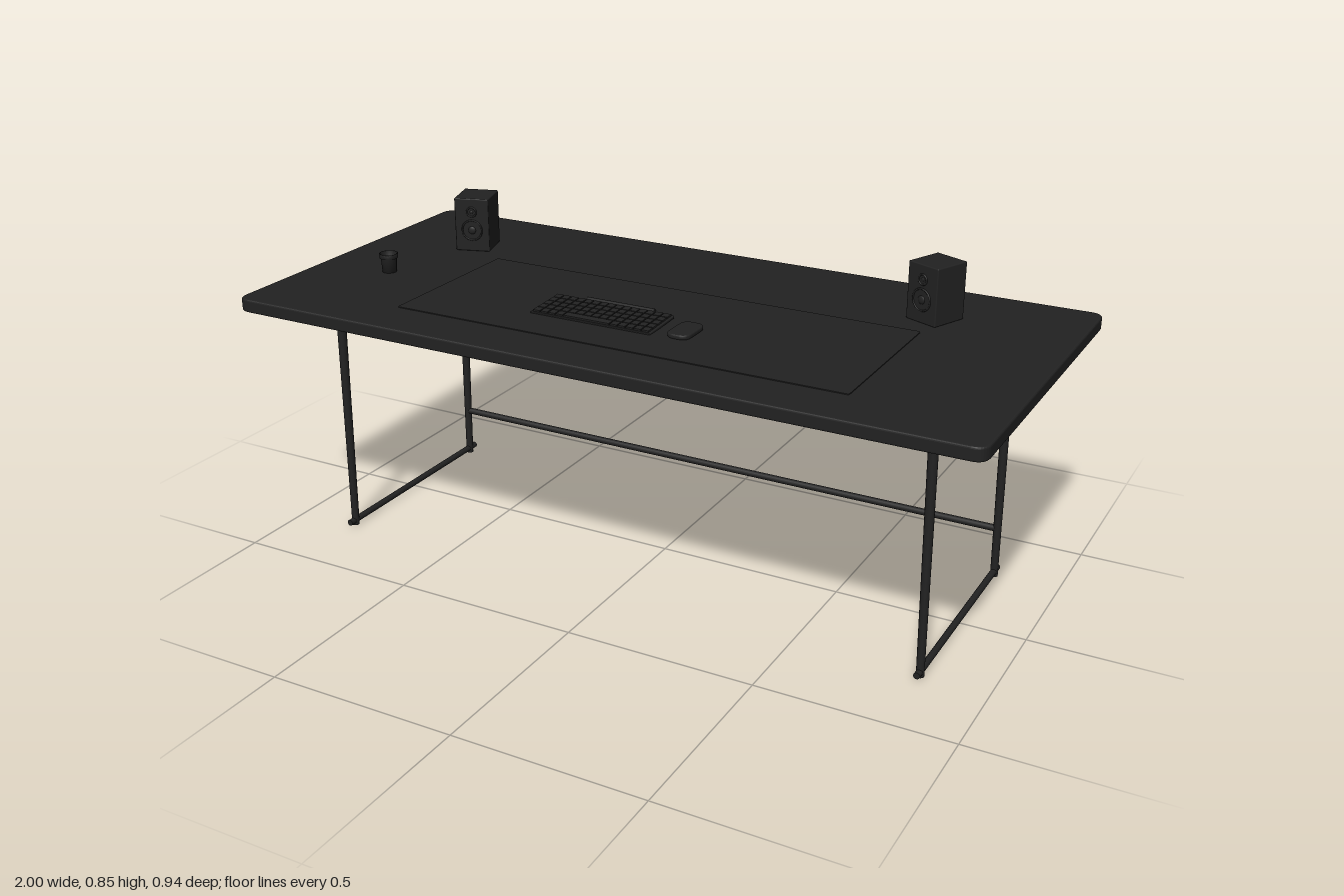
import * as THREE from 'three';
import { RoundedBoxGeometry } from 'three/addons/geometries/RoundedBoxGeometry.js';

const charcoal = new THREE.MeshStandardMaterial({ color: 0x222222 });
charcoal.name = 'charcoal';

function add(parent, name, geometry, x = 0, y = 0, z = 0) {
  const mesh = new THREE.Mesh(geometry, charcoal);
  mesh.name = name;
  mesh.position.set(x, y, z);
  parent.add(mesh);
  return mesh;
}

// Horizontal rounded slab, bottom at y = 0
function slab(w, d, h, r, bevel = 0) {
  const s = new THREE.Shape();
  const x = w / 2 - bevel, y = d / 2 - bevel;
  s.moveTo(-x + r, -y);
  s.lineTo(x - r, -y).quadraticCurveTo(x, -y, x, -y + r);
  s.lineTo(x, y - r).quadraticCurveTo(x, y, x - r, y);
  s.lineTo(-x + r, y).quadraticCurveTo(-x, y, -x, y - r);
  s.lineTo(-x, -y + r).quadraticCurveTo(-x, -y, -x + r, -y);
  const g = new THREE.ExtrudeGeometry(s, {
    depth: h - 2 * bevel, bevelEnabled: bevel > 0, bevelThickness: bevel,
    bevelSize: bevel, bevelSegments: 3, curveSegments: 8,
  });
  return g.rotateX(-Math.PI / 2).translate(0, bevel, 0);
}

function speaker(name, x, z, angle) {
  const g = new THREE.Group();
  g.name = name;
  g.position.set(x, 0.695, z);
  g.rotation.y = angle;
  const w = 0.097, h = 0.15, d = 0.104, front = d / 2;
  add(g, 'speakerCabinet', new RoundedBoxGeometry(w, h, d, 2, 0.003), 0, h / 2, 0);
  // Drivers: raised ring, shallow cone and dust cap
  for (const [label, y, r] of [['woofer', 0.06, 0.028], ['tweeter', 0.112, 0.013]]) {
    add(g, label + 'Ring', new THREE.TorusGeometry(r, 0.0025, 8, 32), 0, y, front);
    add(g, label + 'Cone', new THREE.CircleGeometry(r, 32), 0, y, front + 0.0005);
    add(g, label + 'Cap', new THREE.SphereGeometry(r * 0.4, 16, 8).scale(1, 1, 0.4), 0, y, front);
  }
  // Rear terminals
  for (const sx of [-1, 1]) {
    add(g, 'terminal', new THREE.CylinderGeometry(0.004, 0.004, 0.004, 12).rotateX(Math.PI / 2),
      sx * 0.012, 0.04, -front - 0.001);
  }
  return g;
}

function keyboard() {
  const g = new THREE.Group();
  g.name = 'keyboard';
  g.position.set(-0.098, 0.7, 0.15);
  g.rotation.x = 0.05;
  add(g, 'keyboardBase', new RoundedBoxGeometry(0.342, 0.007, 0.128, 2, 0.002), 0, 0.001, 0);
  const cols = 15, rows = 5, pitchX = 0.0222, pitchZ = 0.0242;
  for (let r = 0; r < rows; r++) {
    for (let c = 0; c < cols; c++) {
      const isSpace = r === rows - 1 && c >= 4 && c <= 9;
      if (isSpace && c > 4) continue;
      const span = isSpace ? 6 : 1;
      add(g, isSpace ? 'spaceBar' : 'key',
        new THREE.BoxGeometry(pitchX * span - 0.003, 0.005, pitchZ - 0.003),
        (c + (span - 1) / 2 - (cols - 1) / 2) * pitchX, 0.0065, (r - (rows - 1) / 2) * pitchZ);
    }
  }
  return g;
}

export function createModel() {
  const model = new THREE.Group();
  model.name = 'desk';

  // Top, support panel and desk mat
  add(model, 'tableTop', slab(2, 0.94, 0.035, 0.03, 0.005), 0, 0.66, 0);
  add(model, 'supportPanel', slab(1.83, 0.77, 0.01, 0.01), 0, 0.651, 0);
  add(model, 'deskMat', slab(1.23, 0.455, 0.003, 0.006), 0.025, 0.6945, 0.105);

  // Tapered legs joined by a floor bar on each side
  for (const sx of [-1, 1]) {
    for (const sz of [-1, 1]) {
      const leg = add(model, 'leg', new THREE.CylinderGeometry(0.0125, 0.01, 0.655, 16),
        sx * 0.826, 0.3275, sz * 0.278);
      leg.rotation.z = sx * 0.01;
    }
    add(model, 'floorBar', new THREE.CylinderGeometry(0.0085, 0.0085, 0.606, 16).rotateX(Math.PI / 2),
      sx * 0.829, 0.0135, 0);
  }
  add(model, 'rearCrossbar', new THREE.CylinderGeometry(0.009, 0.009, 1.65, 16).rotateZ(Math.PI / 2),
    0, 0.137, -0.278);

  // Desk accessories
  model.add(speaker('rightSpeaker', -0.71, -0.203, 0.31));
  model.add(speaker('leftSpeaker', 0.635, -0.234, -0.4));
  model.add(keyboard());
  add(model, 'pen', new THREE.CylinderGeometry(0.005, 0.005, 0.196, 12).rotateZ(Math.PI / 2),
    -0.093, 0.702, 0.063);
  add(model, 'mouse', slab(0.062, 0.104, 0.012, 0.022, 0.004), 0.141, 0.697, 0.158);

  // Open tapered cup with a thicker rim
  const profile = [[0, 0], [0.019, 0], [0.0215, 0.039], [0.025, 0.039], [0.0255, 0.051],
    [0.0225, 0.051], [0.018, 0.004], [0, 0.004]].map(([x, y]) => new THREE.Vector2(x, y));
  add(model, 'cup', new THREE.LatheGeometry(profile, 24), -0.788, 0.695, 0.105);

  return model;
}
